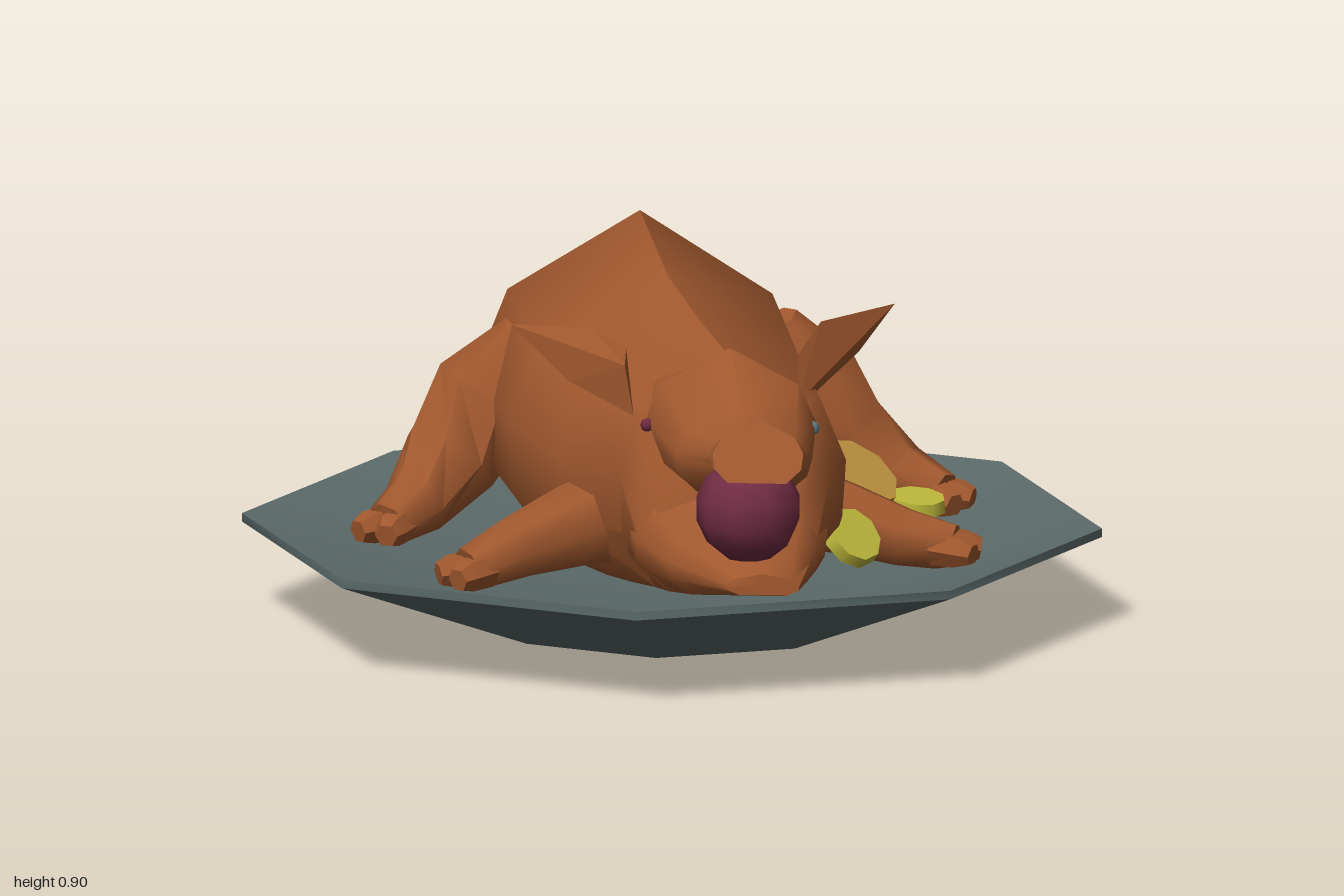
import * as THREE from 'three';
import { toCreasedNormals } from 'three/addons/utils/BufferGeometryUtils.js';
import { ConvexGeometry } from 'three/addons/geometries/ConvexGeometry.js';

const V = (x, y, z) => new THREE.Vector3(x, y, z);

// Skin a list of equal-length rings, cap both ends and face everything outwards.
function loft(rings, crease = 0.95) {
  const n = rings[0].length;
  const pts = rings.flat();
  const idx = [];
  for (let r = 0; r < rings.length - 1; r++) {
    for (let i = 0; i < n; i++) {
      const a = r * n + i, b = r * n + (i + 1) % n;
      idx.push(a, b, a + n, b, b + n, a + n);
    }
  }
  [0, rings.length - 1].forEach((r) => {
    const centre = rings[r].reduce((s, p) => s.add(p), V(0, 0, 0)).divideScalar(n);
    const c = pts.push(centre) - 1;
    for (let i = 0; i < n; i++) {
      const a = r * n + i, b = r * n + (i + 1) % n;
      if (r === 0) idx.push(c, b, a);
      else idx.push(c, a, b);
    }
  });
  let volume = 0;
  for (let i = 0; i < idx.length; i += 3) {
    volume += pts[idx[i]].dot(V(0, 0, 0).crossVectors(pts[idx[i + 1]], pts[idx[i + 2]]));
  }
  if (volume < 0) idx.reverse();
  const g = new THREE.BufferGeometry().setFromPoints(pts);
  g.setIndex(idx);
  return toCreasedNormals(g, crease);
}

// Rounded section with a ridge on top; lean tilts it along z, skew turns it about y.
const HALF = [[0.8, 0.48], [1, -0.05], [0.97, -0.55], [0.65, -1]];
const OUTLINE = [[0, 1], ...HALF, ...HALF.slice().reverse().map(([u, v]) => [-u, v])];
function section([z, cx, hw, top, bottom, lean = 0, skew = 0]) {
  const cy = (top + bottom) / 2, hh = (top - bottom) / 2;
  return OUTLINE.map(([u, v]) => V(cx + u * hw, cy + v * hh, z - v * lean + u * skew));
}

// Tapered limb through [x, y, z, radius] points.
function limb(path, sides = 7) {
  const c = path.map((p) => V(p[0], p[1], p[2]));
  return loft(c.map((p, k) => {
    const t = c[Math.min(k + 1, c.length - 1)].clone().sub(c[Math.max(k - 1, 0)]).normalize();
    const side = V(0, 1, 0).cross(t).normalize();
    const up = t.clone().cross(side);
    return Array.from({ length: sides }, (_, i) => {
      const a = i / sides * Math.PI * 2, r = path[k][3];
      return p.clone().addScaledVector(side, Math.cos(a) * r).addScaledVector(up, Math.sin(a) * r);
    });
  }));
}

export function createModel() {
  const model = new THREE.Group();
  const material = (name, color, side = THREE.FrontSide) => {
    const m = new THREE.MeshStandardMaterial({ color, side });
    m.name = name;
    return m;
  };
  const skin = material('roastBrown', 0xa0582e, THREE.DoubleSide);
  const slate = material('slateGrey', 0x5c6a6a);
  const red = material('appleRed', 0x712c43);
  const yellow = material('lemonYellow', 0xbcb73a);
  const gold = material('orangeFlesh', 0xb98f3c);
  const rind = material('orangeRind', 0xab6a34);
  const blue = material('eyeBlue', 0x5a7880);
  const add = (name, geometry, mat, parent = model) => {
    const m = new THREE.Mesh(geometry, mat);
    m.name = name;
    parent.add(m);
    return m;
  };

  // Octagonal dish with a shallow well
  const dish = [[0, 0], [0.44, 0], [1, 0.21], [1, 0.23], [0.69, 0.165], [0, 0.165]];
  add('plate', toCreasedNormals(
    new THREE.LatheGeometry(dish.map(([x, y]) => new THREE.Vector2(x, y)), 8), 0.8), slate);

  // Body, head and jaw: [z, centre x, half width, top, bottom, lean, skew]
  add('body', loft([
    [-0.665, -0.1, 0.17, 0.48, 0.33, 0, 0.025], [-0.63, -0.1, 0.24, 0.57, 0.2, 0, 0.03],
    [-0.565, -0.1, 0.29, 0.67, 0.17, 0, 0.02], [-0.42, -0.105, 0.375, 0.81, 0.16],
    [-0.3, -0.1, 0.385, 0.9, 0.16], [0.1, 0.0, 0.375, 0.83, 0.16],
    [0.3, 0.095, 0.335, 0.765, 0.16], [0.45, 0.16, 0.245, 0.735, 0.17],
    [0.59, 0.18, 0.205, 0.44, 0.19],
  ].map(section), 1.05), skin);
  add('head', loft([
    [0.38, 0.15, 0.2, 0.72, 0.43], [0.46, 0.175, 0.198, 0.742, 0.42],
    [0.6, 0.215, 0.155, 0.62, 0.43], [0.73, 0.25, 0.1, 0.61, 0.5],
  ].map(section)), skin);
  add('snout', loft([
    [0.7, 0.245, 0.09, 0.61, 0.51], [0.755, 0.26, 0.095, 0.61, 0.52, 0.01],
    [0.825, 0.27, 0.105, 0.645, 0.51, 0.035],
  ].map(section), 0.5), skin);
  add('lowerJaw', loft([
    [0.45, 0.165, 0.235, 0.46, 0.19], [0.58, 0.178, 0.215, 0.45, 0.19],
    [0.66, 0.21, 0.165, 0.36, 0.2], [0.815, 0.28, 0.085, 0.285, 0.235],
  ].map(section)), skin);

  // Apple in the mouth
  add('apple', new THREE.SphereGeometry(0.125, 9, 7), red).position.set(0.24, 0.42, 0.73);

  // Eyes
  [['rightEye', -0.017, red], ['leftEye', 0.367, blue]].forEach(([name, x, mat]) => {
    const e = add(name, new THREE.SphereGeometry(0.017, 6, 4), mat);
    e.position.set(x, 0.56, 0.475);
  });

  // Legs, each ending in two short splayed toes
  const legs = {
    leftFrontLeg: [[0.28, 0.3, 0.11, 0.11], [0.42, 0.275, 0.135, 0.085], [0.55, 0.24, 0.165, 0.07], [0.67, 0.22, 0.18, 0.055]],
    rightFrontLeg: [[-0.1, 0.3, 0.26, 0.12], [-0.21, 0.285, 0.35, 0.1], [-0.33, 0.255, 0.45, 0.075], [-0.43, 0.22, 0.53, 0.055]],
    leftBackLeg: [[0.2, 0.62, -0.41, 0.06], [0.26, 0.47, -0.44, 0.14], [0.36, 0.33, -0.46, 0.13], [0.49, 0.25, -0.43, 0.085], [0.6, 0.22, -0.375, 0.055]],
    rightBackLeg: [[-0.35, 0.63, -0.2, 0.06], [-0.44, 0.48, -0.19, 0.135], [-0.53, 0.34, -0.15, 0.12], [-0.6, 0.25, -0.04, 0.08], [-0.66, 0.22, 0.06, 0.055]],
  };
  for (const [name, path] of Object.entries(legs)) {
    const leg = new THREE.Group();
    leg.name = name;
    model.add(leg);
    add('shank', limb(path), skin, leg);
    const [p, q] = path.slice(-2);
    const d = V(q[0] - p[0], 0, q[2] - p[2]).normalize();
    [-1, 1].forEach((s) => {
      const at = (along, out, y, r) =>
        [q[0] + d.x * along - d.z * out * s, y, q[2] + d.z * along + d.x * out * s, r];
      add('toe', limb([at(-0.04, 0.015, 0.22, 0.044), at(0.025, 0.032, 0.215, 0.04), at(0.055, 0.04, 0.21, 0.028)], 6), skin, leg);
    });
  }

  // Thin pointed ears
  const ears = {
    leftEar: [[0.53, 0.785, 0.14], [0.37, 0.77, 0.28], [0.32, 0.7, 0.33], [0.32, 0.59, 0.35], [0.35, 0.59, 0.24], [0.45, 0.68, 0.19]],
    rightEar: [[-0.34, 0.785, 0.435], [-0.15, 0.775, 0.425], [-0.07, 0.73, 0.43], [-0.05, 0.58, 0.47], [-0.1, 0.6, 0.44], [-0.2, 0.655, 0.455], [-0.07, 0.7, 0.475]],
  };
  for (const [name, pts] of Object.entries(ears)) {
    add(name, new ConvexGeometry(pts.map((p) => V(...p))), skin);
  }

  // Zigzag ribbon tail: [x, z, low y, high y]
  const tailPath = [[-0.23, -0.62, 0.38, 0.47], [-0.25, -0.75, 0.4, 0.485], [-0.14, -0.84, 0.4, 0.475], [-0.24, -0.91, 0.335, 0.4], [-0.44, -0.81, 0.38, 0.385]];
  const tail = new THREE.BufferGeometry().setFromPoints(
    tailPath.flatMap(([x, z, lo, hi]) => [V(x + 0.02, lo, z - 0.01), V(x - 0.02, hi, z + 0.01)]));
  tail.setIndex([0, 2, 4, 6].flatMap((i) => [i, i + 1, i + 2, i + 1, i + 3, i + 2]));
  add('tail', toCreasedNormals(tail, 0.4), skin);

  // Fruit slices: [name, radius, thickness, position, facing direction, side, face]
  [
    ['orangeHalf', 0.115, 0.06, [0.4, 0.287, -0.215], [0.5, 0.8, 0.33], rind, gold],
    ['lemonSlice', 0.07, 0.03, [0.55, 0.235, -0.23], [0.1, 1, 0.12], yellow, yellow],
    ['lemonSlice', 0.07, 0.03, [0.42, 0.21, -0.03], [0.72, 0.68, -0.15], yellow, yellow],
    ['lemonSlice', 0.075, 0.03, [0.445, 0.265, 0.3], [0.6, 0.62, 0.5], yellow, yellow],
  ].forEach(([name, r, h, pos, dir, side, face]) => {
    const s = add(name, new THREE.CylinderGeometry(r * 0.93, r, h, 9), [side, face, side]);
    s.position.set(...pos);
    s.quaternion.setFromUnitVectors(V(0, 1, 0), V(...dir).normalize());
  });

  return model;
}
